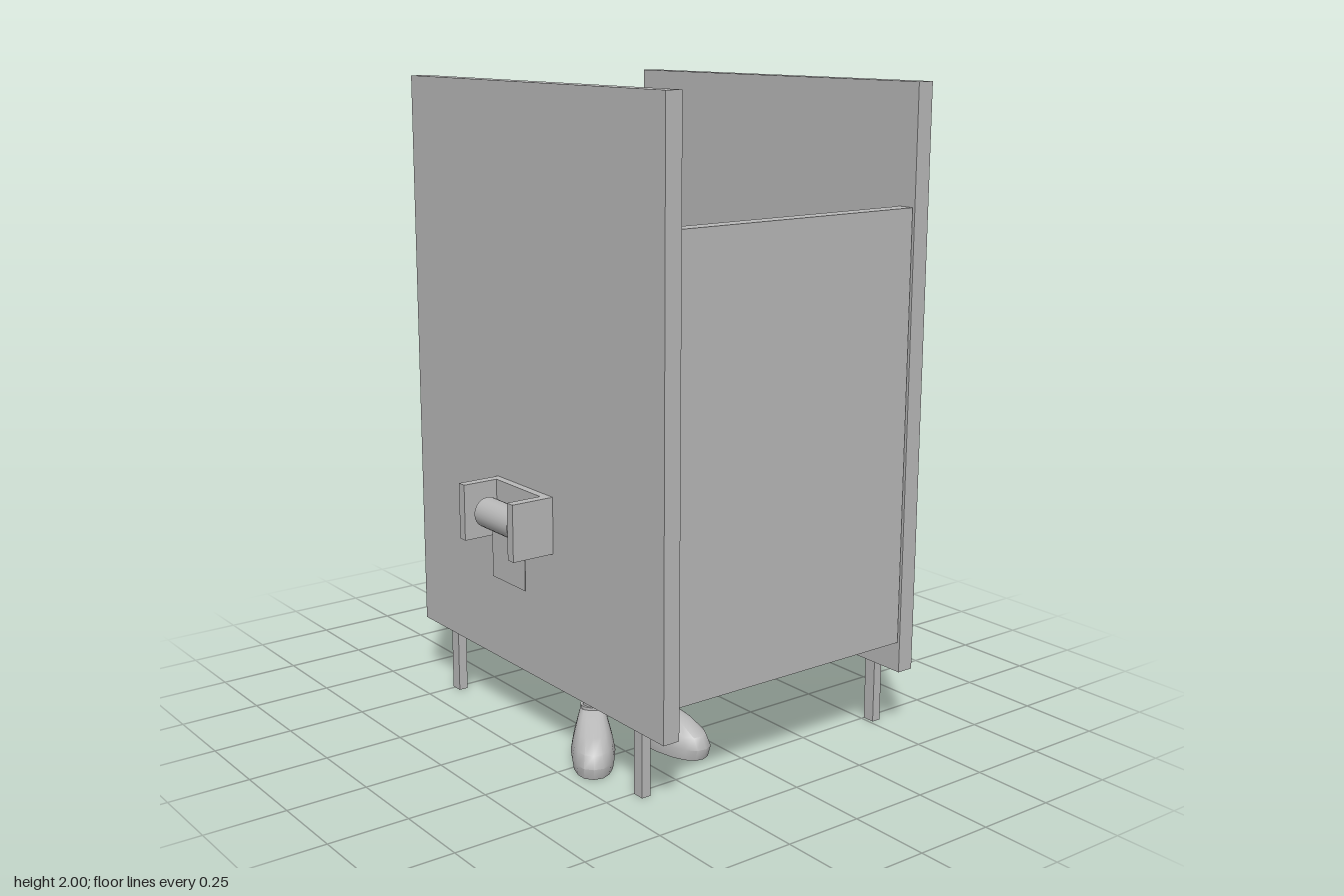
import * as THREE from 'three';
import { toCreasedNormals } from 'three/addons/utils/BufferGeometryUtils.js';

const grey = new THREE.MeshStandardMaterial({ color: 0xb8b8b8, side: THREE.DoubleSide });
grey.name = 'stall grey';

function add(parent, name, geometry) {
  const mesh = new THREE.Mesh(geometry, grey);
  mesh.name = name;
  parent.add(mesh);
  return mesh;
}

// Box given by its lower and upper limits on each axis
function box(parent, name, [x0, x1], [y0, y1], [z0, z1]) {
  const mesh = add(parent, name, new THREE.BoxGeometry(x1 - x0, y1 - y0, z1 - z0));
  mesh.position.set((x0 + x1) / 2, (y0 + y1) / 2, (z0 + z1) / 2);
  return mesh;
}

function cylinderZ(parent, name, radius, [z0, z1], x, y, sides) {
  const mesh = add(parent, name, new THREE.CylinderGeometry(radius, radius, z1 - z0, sides).rotateX(Math.PI / 2));
  mesh.position.set(x, y, (z0 + z1) / 2);
  return mesh;
}

// Skin through horizontal rings: [centre x, y, centre z, half width, half depth]
function loft(rings, power = 1, sides = 16) {
  const positions = [], index = [];
  const bend = (v) => Math.sign(v) * Math.pow(Math.abs(v), power);
  rings.forEach(([x, y, z, rx, rz], r) => {
    for (let i = 0; i <= sides; i++) {
      const a = ((i % sides) / sides) * Math.PI * 2;
      positions.push(x + rx * bend(Math.cos(a)), y, z + rz * bend(Math.sin(a)));
      if (r && i < sides) {
        const b = (r - 1) * (sides + 1) + i, t = b + sides + 1;
        index.push(b, t, b + 1, b + 1, t, t + 1);
      }
    }
  });
  const geometry = new THREE.BufferGeometry();
  geometry.setAttribute('position', new THREE.Float32BufferAttribute(positions, 3));
  geometry.setIndex(index);
  return toCreasedNormals(geometry, 0.8);
}

function buildStall() {
  const stall = new THREE.Group();
  stall.name = 'stall';
  box(stall, 'rightPanel', [-0.415, -0.36], [0.205, 2], [-0.655, 0.655]);
  box(stall, 'leftPanel', [0.5, 0.555], [0.205, 2], [-0.655, 0.655]);
  box(stall, 'door', [-0.357, 0.496], [0.302, 1.64], [0.597, 0.65]);
  for (const x of [-0.388, 0.525])
    for (const z of [-0.49, 0.52])
      box(stall, 'panelFoot', [x - 0.015, x + 0.015], [0, 0.205], [z - 0.02, z + 0.02]);
  return stall;
}

function buildPaperHolder() {
  const holder = new THREE.Group();
  holder.name = 'paperHolder';
  box(holder, 'backPlate', [-0.44, -0.415], [0.625, 0.8], [-0.185, 0.115]);
  box(holder, 'endPlate', [-0.555, -0.415], [0.625, 0.8], [-0.185, -0.155]);
  box(holder, 'endPlate', [-0.555, -0.415], [0.625, 0.8], [0.085, 0.115]);
  cylinderZ(holder, 'spindle', 0.022, [-0.155, 0.085], -0.473, 0.715, 12);
  cylinderZ(holder, 'paperRoll', 0.047, [-0.125, 0.055], -0.492, 0.712, 24);
  box(holder, 'hangingSheet', [-0.477, -0.474], [0.505, 0.69], [-0.125, 0.055]);
  return holder;
}

function buildFigure() {
  const figure = new THREE.Group();
  figure.name = 'lowerBody';
  figure.position.set(-0.222, 0, 0.195);
  figure.rotation.y = -0.227;

  // Open pelvis: outer wall, flat rim, inner wall
  add(figure, 'pelvis', loft([
    [0, 0.52, 0, 0.13, 0.075],
    [0, 0.57, 0, 0.142, 0.092],
    [0, 0.65, 0, 0.147, 0.098],
    [0, 0.65, 0, 0.118, 0.07],
    [0, 0.57, 0, 0.115, 0.068],
    [0, 0.525, 0, 0.11, 0.063],
  ], 0.6, 24));

  // Crotch bridge between the two leg openings
  const bridge = new THREE.Shape();
  bridge.absellipse(0, 0, 0.125, 0.072, 0, Math.PI * 2);
  for (const side of [-1, 1]) {
    const hole = new THREE.Path();
    hole.absellipse(side * 0.066, 0, 0.05, 0.055, 0, Math.PI * 2);
    bridge.holes.push(hole);
  }
  add(figure, 'crotch', new THREE.ShapeGeometry(bridge, 12).rotateX(Math.PI / 2)).position.y = 0.522;

  for (const side of [-1, 1]) {
    // Hollow tapering trouser leg
    add(figure, 'trouserLeg', loft([
      [side * 0.098, 0.188, 0, 0.042, 0.042],
      [side * 0.097, 0.28, 0, 0.044, 0.044],
      [side * 0.086, 0.38, 0, 0.049, 0.05],
      [side * 0.075, 0.46, 0, 0.056, 0.062],
      [side * 0.068, 0.525, 0, 0.062, 0.074],
    ]));
    const ankle = add(figure, 'ankle', new THREE.CylinderGeometry(0.03, 0.03, 0.08, 8));
    ankle.position.set(side * 0.098, 0.175, 0);
    const cuff = add(figure, 'ankleCuff', new THREE.CylinderGeometry(0.037, 0.037, 0.018, 12));
    cuff.position.set(side * 0.098, 0.138, 0);

    // Shoe turned outwards, flat sole, sloping from instep to toe
    const shoe = add(figure, 'shoe', loft([
      [0, 0, 0.085, 0, 0],
      [0, 0, 0.085, 0.062, 0.138],
      [0, 0.035, 0.088, 0.067, 0.145],
      [0, 0.07, 0.08, 0.06, 0.135],
      [0, 0.1, 0.052, 0.05, 0.105],
      [0, 0.12, 0.015, 0.042, 0.062],
      [0, 0.138, 0, 0.036, 0.04],
      [0, 0.138, 0, 0, 0],
    ], 0.85));
    shoe.position.x = side * 0.098;
    shoe.rotation.y = side * 0.37;
  }
  return figure;
}

export function createModel() {
  const model = new THREE.Group();
  model.name = 'restroomStall';
  model.add(buildStall(), buildPaperHolder(), buildFigure());
  return model;
}
